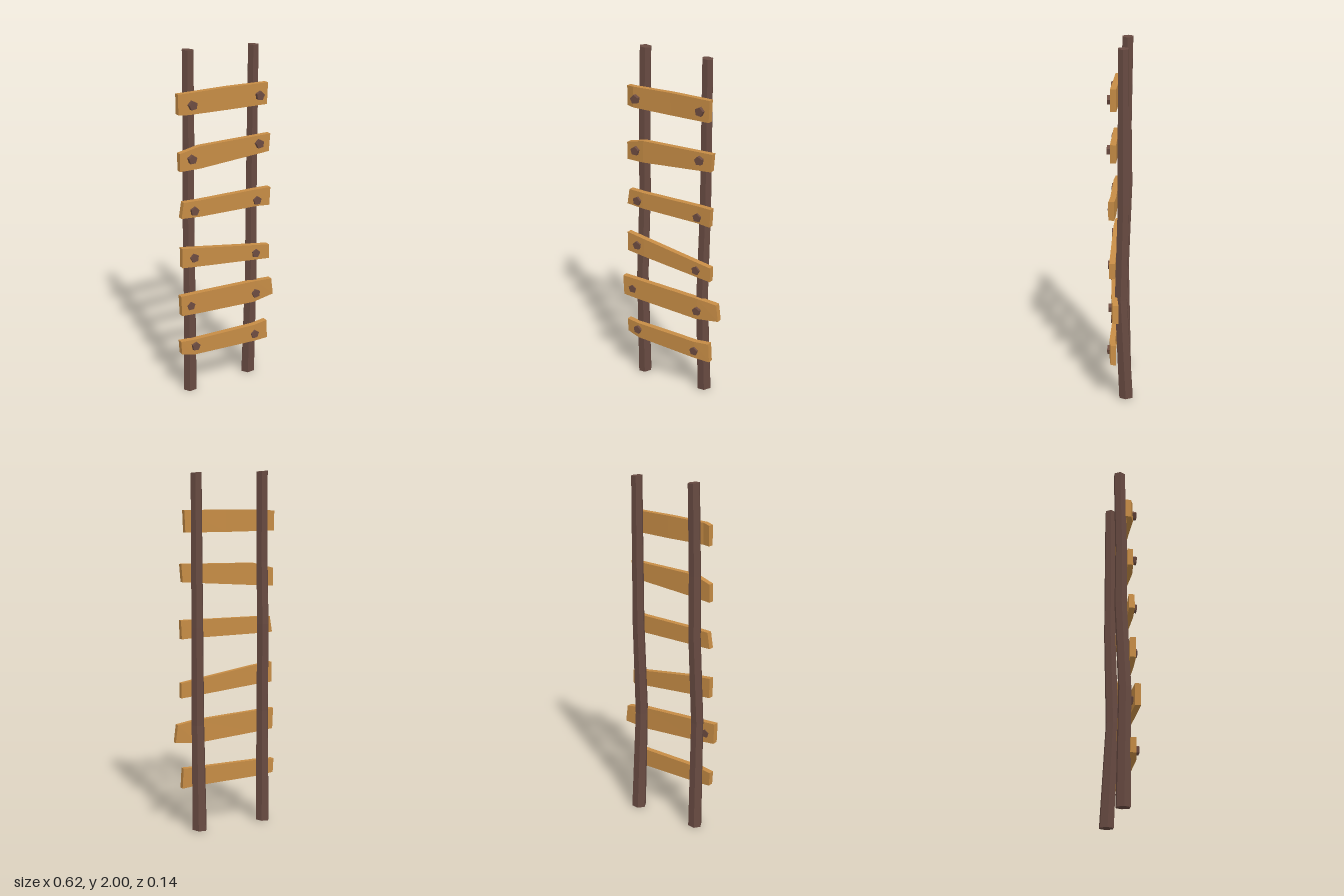
import * as THREE from 'three';

const mat = (color) => new THREE.MeshStandardMaterial({ color, flatShading: true, side: THREE.FrontSide });

// Closed faceted solid through rings of equal point count (counter-clockwise seen from the last ring)
function loft(rings) {
  const n = rings[0].length, last = (rings.length - 1) * n, index = [];
  for (let r = 0; r < rings.length - 1; r++) {
    for (let i = 0; i < n; i++) {
      const j = (i + 1) % n, a = r * n, b = a + n;
      index.push(a + i, a + j, b + j, a + i, b + j, b + i);
    }
  }
  for (let i = 1; i < n - 1; i++) {
    index.push(0, i + 1, i, last, last + i, last + i + 1);
  }
  const indexed = new THREE.BufferGeometry();
  indexed.setAttribute('position', new THREE.Float32BufferAttribute(rings.flat(2), 3));
  indexed.setIndex(index);
  const geo = indexed.toNonIndexed();
  geo.computeVertexNormals();
  return geo;
}

// Six-sided pole; stations are [x, y, z, radius], the end rings are cut slightly askew
function poleGeometry(stations) {
  return loft(stations.map(([x, y, z, r], k) => {
    const end = k === 0 ? 0.006 : k === stations.length - 1 ? -0.006 : 0;
    return Array.from({ length: 6 }, (_, i) => {
      const a = (i / 6) * Math.PI * 2;
      return [x + r * Math.cos(a), y + end * (1 + Math.cos(a)) / 2, z - r * Math.sin(a)];
    });
  }));
}

// Bent board; stations are [x at top, x at bottom, top y, bottom y, middle z]
function plankGeometry(stations) {
  const h = 0.016;
  return loft(stations.map(([xt, xb, t, b, z]) => [
    [xb, b, z + h], [xb, b, z - h], [xt, t, z - h], [xt, t, z + h],
  ]));
}

const POLES = {
  rightPole: [[-0.221, 0, -0.01, 0.041], [-0.223, 0.65, 0, 0.037], [-0.214, 1.15, -0.02, 0.036], [-0.209, 1.5, -0.016, 0.035], [-0.203, 2, -0.025, 0.034]],
  leftPole: [[0.184, 0, -0.033, 0.043], [0.18, 0.6, -0.004, 0.038], [0.187, 1.15, -0.018, 0.035], [0.19, 1.99, -0.017, 0.032]],
};

// Boards from bottom to top, each with its two nail positions [x, y, front z]
const PLANKS = [
  {
    board: [[-0.305, -0.3, 0.35, 0.27, 0.03], [-0.22, -0.22, 0.35, 0.255, 0.043], [0.17, 0.17, 0.345, 0.24, 0.045], [0.258, 0.265, 0.35, 0.235, 0.035]],
    nails: [[-0.22, 0.31, 0.073], [0.17, 0.287, 0.073]],
  },
  {
    board: [[-0.313, -0.308, 0.645, 0.525, 0.055], [-0.2, -0.2, 0.64, 0.515, 0.05], [0.18, 0.17, 0.62, 0.49, 0.034], [0.297, 0.31, 0.605, 0.505, 0.02]],
    nails: [[-0.25, 0.573, 0.073], [0.18, 0.545, 0.065]],
  },
  {
    board: [[-0.29, -0.29, 0.92, 0.805, 0.034], [-0.175, -0.175, 0.905, 0.795, 0.04], [0.265, 0.265, 0.835, 0.75, 0.04]],
    nails: [[-0.22, 0.855, 0.066], [0.175, 0.8, 0.066]],
  },
  {
    board: [[-0.275, -0.29, 1.185, 1.095, 0.03], [-0.18, -0.18, 1.185, 1.09, 0.038], [0.18, 0.18, 1.185, 1.085, 0.038], [0.265, 0.26, 1.185, 1.08, 0.044]],
    nails: [[-0.215, 1.13, 0.066], [0.18, 1.12, 0.066]],
  },
  {
    board: [[-0.29, -0.29, 1.46, 1.36, 0.022], [-0.175, -0.175, 1.49, 1.365, 0.036], [0.265, 0.257, 1.495, 1.395, 0.034]],
    nails: [[-0.225, 1.425, 0.066], [0.19, 1.45, 0.07]],
  },
  {
    board: [[-0.29, -0.29, 1.78, 1.67, 0.012], [-0.24, -0.24, 1.785, 1.668, 0.03], [0, 0, 1.788, 1.665, 0.03], [0.245, 0.24, 1.785, 1.665, 0.034]],
    nails: [[-0.22, 1.72, 0.068], [0.19, 1.72, 0.068]],
  },
];

export function createModel() {
  const model = new THREE.Group();
  model.name = 'ladder';
  const add = (name, geo, material) => {
    const mesh = new THREE.Mesh(geo, material);
    mesh.name = name;
    model.add(mesh);
    return mesh;
  };

  const poleMat = mat(0x674a41);
  const plankMat = mat(0xc68c45);
  const nailMat = mat(0x6d4c41);

  // Uprights
  for (const [name, stations] of Object.entries(POLES)) add(name, poleGeometry(stations), poleMat);

  // Rungs with five-sided nail heads
  const nailGeo = new THREE.CylinderGeometry(0.026, 0.026, 0.04, 5);
  nailGeo.rotateX(Math.PI / 2);
  PLANKS.forEach(({ board, nails }, k) => {
    add(`rung${k + 1}`, plankGeometry(board), plankMat);
    nails.forEach(([x, y, z], i) => {
      const nail = add(`nail${k + 1}${i ? 'Left' : 'Right'}`, nailGeo, nailMat);
      nail.position.set(x, y, z - 0.02);
      nail.rotation.z = Math.PI + 0.15 * ((k + i) % 3 - 1);
    });
  });
  return model;
}
